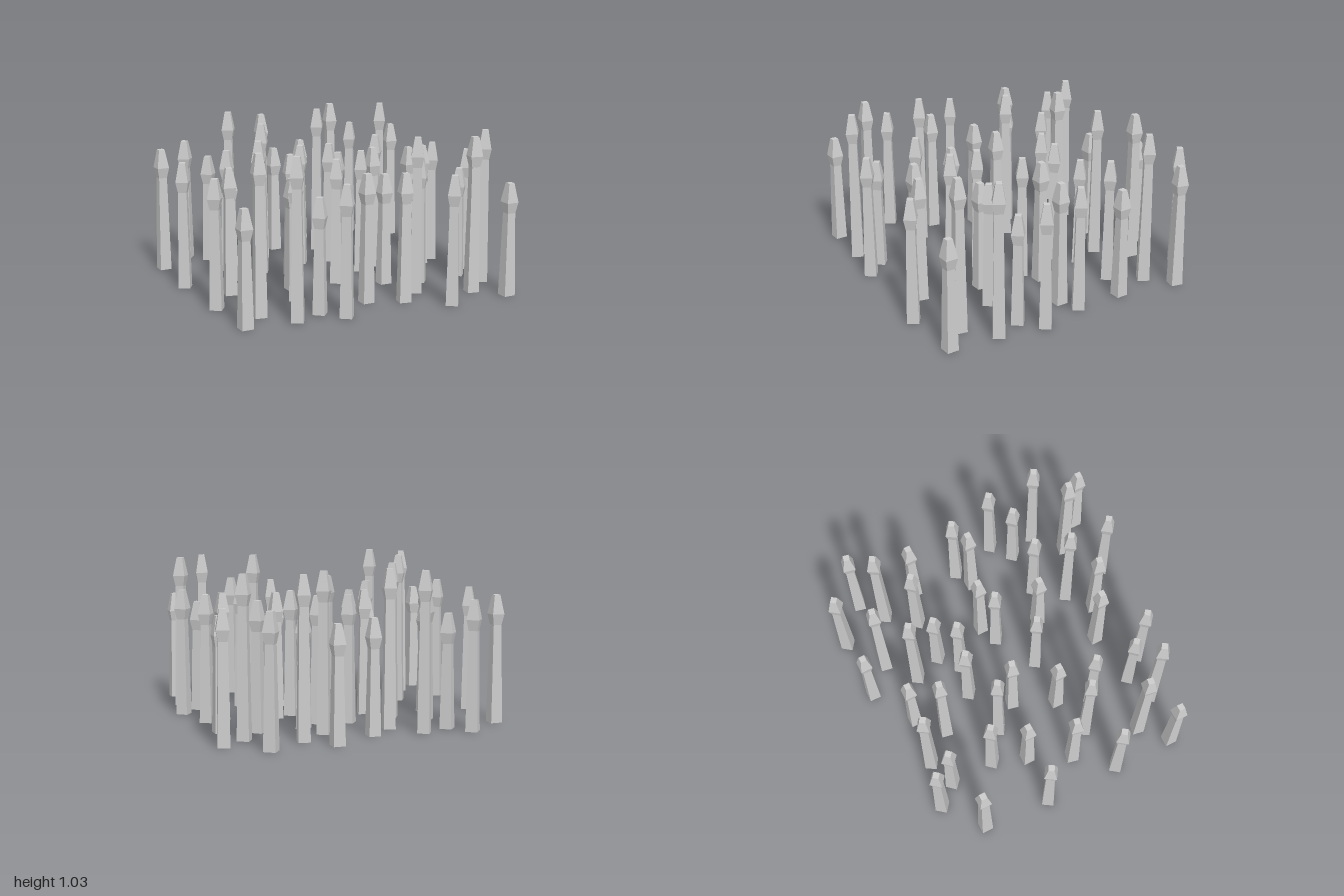
import * as THREE from 'three';

// Square-section spike: tapering shaft, narrow neck, flared head with a flat tip
function spikeGeometry(height) {
  const profile = [
    [0, 0], [0.039, 0], [0.028, height - 0.195], [0.041, height - 0.125], [0.02, height], [0, height],
  ].map(([half, y]) => new THREE.Vector2(half * Math.SQRT2, y));
  return new THREE.LatheGeometry(profile, 4, Math.PI / 4);
}

// Spikes of one cluster: x, z, turn in degrees
const CLUSTER = {
  tall: [[0, 0, 10], [0.155, -0.332, 31], [0.165, 0.191, 32]],
  medium: [
    [0.471, 0.256, 38], [0.725, 0.053, 0], [0.345, -0.187, 40],
    [0.023, -0.5, 12], [-0.175, -0.262, 36], [0.755, -0.411, 32],
  ],
  short: [[-0.17, 0.16, 0], [0.427, -0.416, 0], [0.355, 0.121, 41]],
};
const HEIGHTS = { tall: 1.03, medium: 0.84, short: 0.745 };

// The same cluster repeats four times: x, z, quarter turns
const PLACEMENTS = [
  [-0.765, 0.594, 0], [0.446, -0.773, -1], [-0.187, -0.602, 2], [0.68, 0.768, 1],
];

export function createModel() {
  const model = new THREE.Group();
  model.name = 'spikeField';
  const material = new THREE.MeshStandardMaterial({ color: 0xcccccc, flatShading: true });
  const geometries = {};
  for (const size in HEIGHTS) geometries[size] = spikeGeometry(HEIGHTS[size]);

  for (const [cx, cz, quarter] of PLACEMENTS) {
    const cluster = new THREE.Group();
    cluster.name = 'spikeCluster';
    cluster.position.set(cx, 0, cz);
    cluster.rotation.y = quarter * Math.PI / 2;
    for (const size in CLUSTER) {
      for (const [x, z, turn] of CLUSTER[size]) {
        const spike = new THREE.Mesh(geometries[size], material);
        spike.name = size + 'Spike';
        spike.position.set(x, 0, z);
        spike.rotation.y = -THREE.MathUtils.degToRad(turn);
        cluster.add(spike);
      }
    }
    model.add(cluster);
  }
  return model;
}
